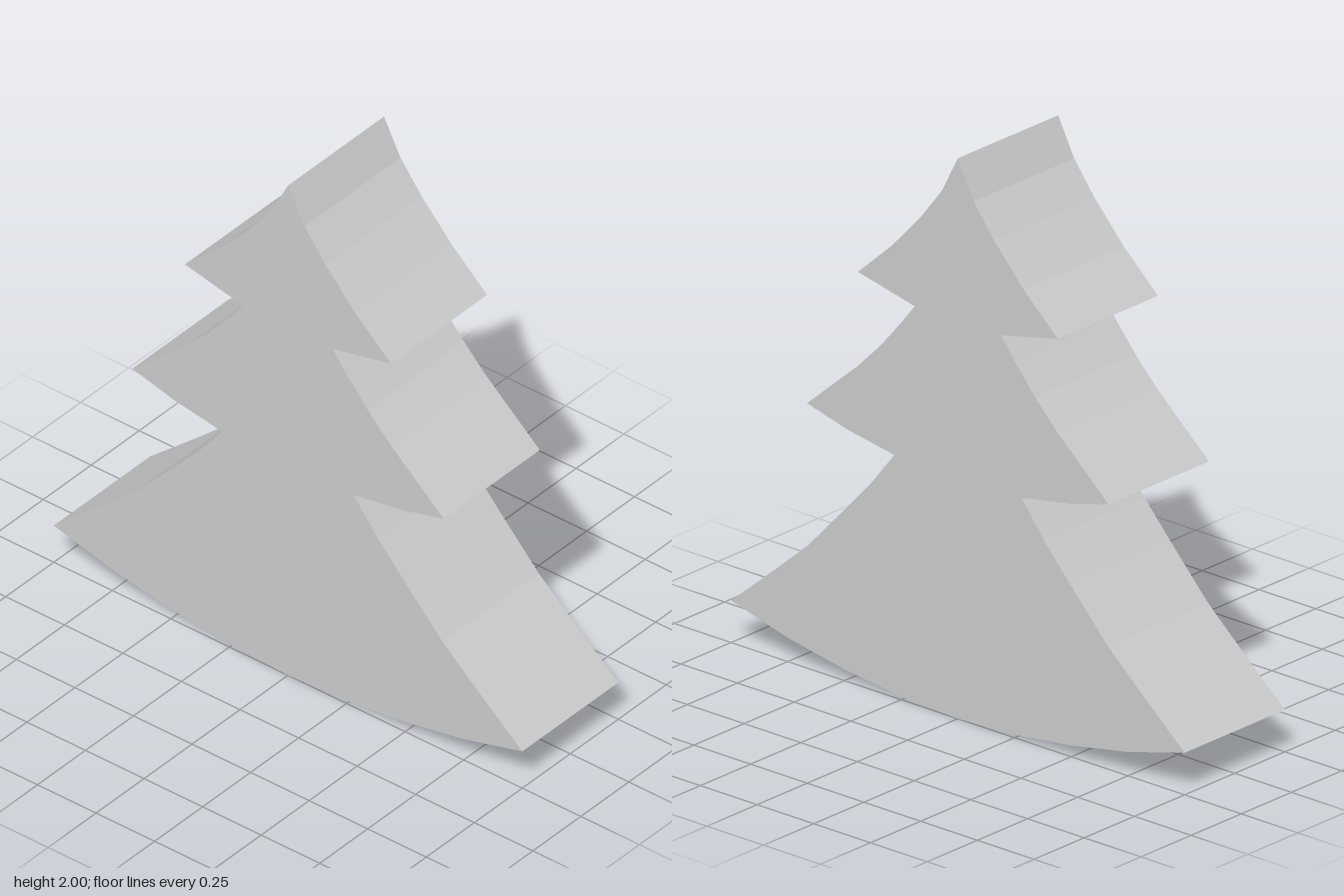
import * as THREE from 'three';

const DEPTH = 0.5;

// Right half of the outline, from the middle of the base up to the tip
const HALF = [
  // curved base
  [0, 0], [0.24, 0.01], [0.5, 0.04], [0.75, 0.085], [1, 0.15],
  // lowest tier, ending in its upper notch
  [0.81, 0.31], [0.66, 0.44], [0.49, 0.62], [0.38, 0.74], [0.28, 0.865],
  // middle tier
  [0.49, 0.9], [0.665, 0.945], [0.44, 1.14], [0.34, 1.24], [0.25, 1.345], [0.19, 1.42],
  // top tier and tip
  [0.44, 1.475], [0.29, 1.61], [0.16, 1.75], [0.07, 1.865], [0, 2],
];

export function createModel() {
  const group = new THREE.Group();
  group.name = 'tree';

  // Mirror the half outline, leaving out the two points on the centre line
  const mirrored = HALF.slice(1, -1).reverse().map(([x, y]) => [-x, y]);
  const outline = [...HALF, ...mirrored].map(([x, y]) => new THREE.Vector2(x, y));

  // Thick flat slab with sharp edges
  const geometry = new THREE.ExtrudeGeometry(new THREE.Shape(outline), {
    depth: DEPTH,
    bevelEnabled: false,
  });
  geometry.translate(0, 0, -DEPTH / 2);

  const slab = new THREE.Mesh(
    geometry,
    new THREE.MeshStandardMaterial({ color: 0xcccccc, flatShading: true }),
  );
  slab.name = 'treeSlab';
  group.add(slab);
  return group;
}
